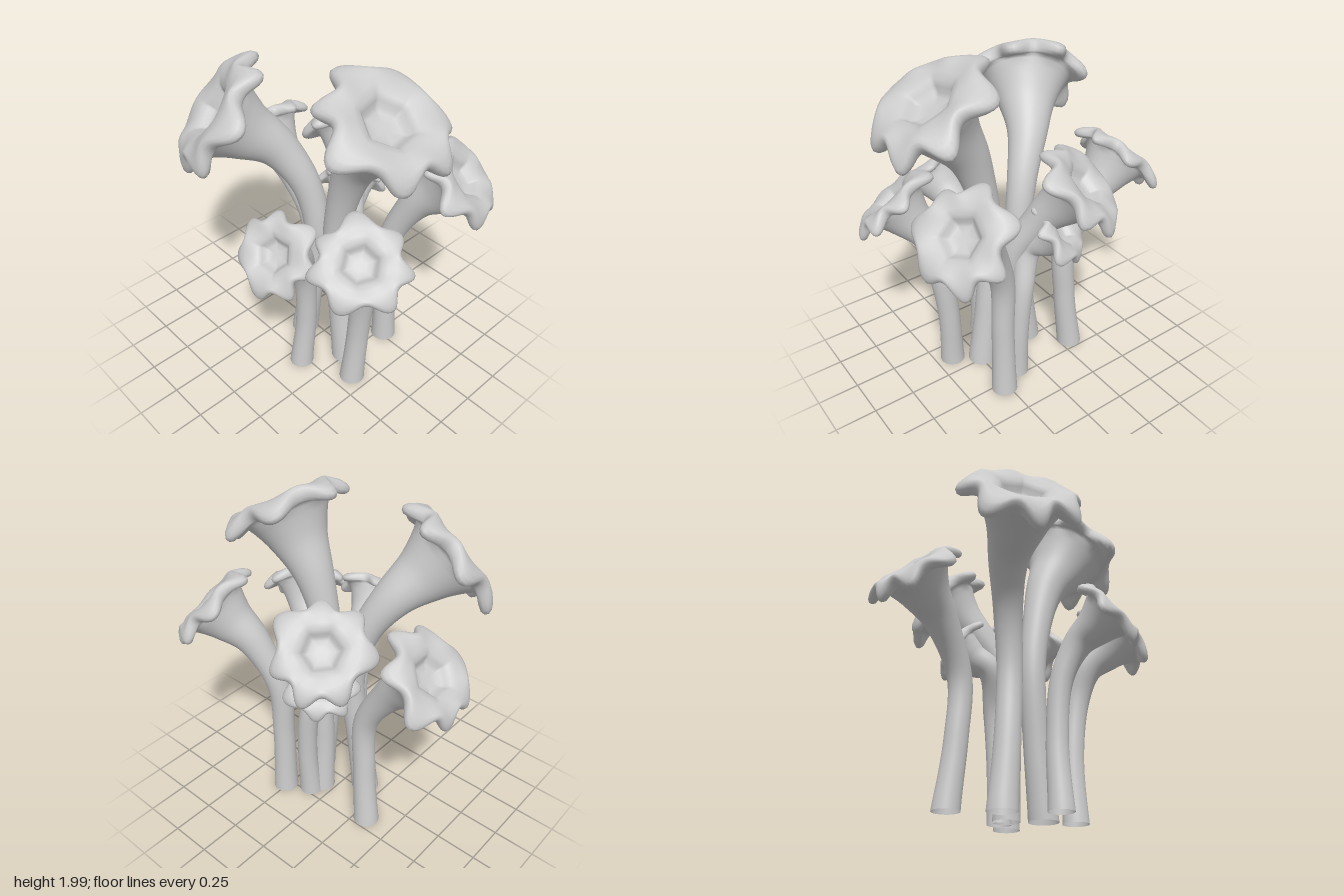
import * as THREE from 'three';

const SIDES = 84, LOBES = 7, STEPS = 44;
const V = (p) => new THREE.Vector3(...p);

// Each polyp: stem points from the ground up, head centre, facing direction, head radius, lobe phase
const POLYPS = [
  { name: 'frontRightTallPolyp', stem: [[-0.13, 0, 0.05], [-0.08, 0.4, 0.04], [-0.04, 0.85, 0.02], [-0.10, 1.18, 0.06]], head: [-0.395, 1.65, 0.43], face: [-0.45, 0.6, 0.66], R: 0.38, phase: 0.9 },
  { name: 'tallestPolyp', stem: [[0.23, 0, 0.03], [0.18, 0.4, 0.03], [0.14, 0.85, 0.04], [0.18, 1.15, 0.04]], head: [0.485, 1.80, 0.045], face: [0.52, 0.85, 0.02], R: 0.385, phase: 1.9 },
  { name: 'rightPolyp', stem: [[-0.32, 0, -0.17], [-0.28, 0.4, -0.15], [-0.28, 0.75, -0.14]], head: [-0.675, 1.25, -0.12], face: [-0.72, 0.69, 0.02], R: 0.295, phase: 3.1 },
  { name: 'frontPolyp', stem: [[0.08, 0, 0.27], [0.10, 0.4, 0.24], [0.12, 0.75, 0.27]], head: [0.22, 1.115, 0.555], face: [0.2, 0.6, 0.75], R: 0.245, phase: 0.9 },
  { name: 'backPolyp', stem: [[0.09, 0, -0.12], [0.09, 0.45, -0.10], [0.09, 0.85, -0.13]], head: [-0.18, 1.32, -0.39], face: [-0.47, 0.71, -0.5], R: 0.30, phase: 2.3 },
  { name: 'backLeftPolyp', stem: [[0.27, 0, -0.28], [0.27, 0.45, -0.27], [0.28, 0.82, -0.28]], head: [0.62, 1.325, -0.44], face: [0.66, 0.67, -0.32], R: 0.295, phase: 4.0 },
  { name: 'leftPolyp', stem: [[0.39, 0, 0.13], [0.41, 0.4, 0.11], [0.45, 0.75, 0.13]], head: [0.61, 1.16, 0.325], face: [0.46, 0.74, 0.46], R: 0.275, phase: 5.2 },
  { name: 'lowBackPolyp', stem: [[0.12, 0, -0.20], [0.12, 0.35, -0.22], [0.09, 0.65, -0.22]], head: [-0.10, 1.03, -0.32], face: [-0.5, 0.6, -0.6], R: 0.22, phase: 0.2 },
];

// Head cross-section in units of R: radius, height, lobe depth, droop, hexagon amount
const HEAD = [
  [0.72, -0.10, 0.04, 0.02, 0], [0.82, -0.11, 0.11, 0.07, 0], [0.91, -0.10, 0.18, 0.11, 0],
  [0.97, -0.06, 0.21, 0.13, 0], [1.00, 0.00, 0.22, 0.14, 0], [0.98, 0.06, 0.21, 0.13, 0],
  [0.91, 0.11, 0.17, 0.10, 0], [0.80, 0.13, 0.10, 0.05, 0], [0.66, 0.13, 0.03, 0.02, 0],
  [0.52, 0.11, 0, 0, 0.4], [0.42, 0.07, 0, 0, 0.8], [0.36, 0.00, 0, 0, 1],
  [0.32, -0.07, 0, 0, 1], [0.25, -0.11, 0, 0, 1], [0.12, -0.12, 0, 0, 1], [0, -0.12, 0, 0, 0],
];

function polypGeometry({ stem, head, face, R, phase }) {
  const n = V(face).normalize(), c = V(head);
  const back = (d) => c.clone().addScaledVector(n, -d * R);
  const curve = new THREE.CatmullRomCurve3([...stem.map(V), back(1.05), back(0.5), back(0.14)]);
  const frames = curve.computeFrenetFrames(STEPS, false);
  const length = curve.getLength();
  const pos = [], index = [];

  const addRing = (centre, i, radius, lift = () => 0) => {
    for (let j = 0; j < SIDES; j++) {
      const a = (j / SIDES) * Math.PI * 2, r = radius(a);
      const p = centre.clone()
        .addScaledVector(frames.normals[i], r * Math.cos(a))
        .addScaledVector(frames.binormals[i], r * Math.sin(a))
        .addScaledVector(frames.tangents[i], lift(a));
      if (i === 0) p.y = 0;
      pos.push(p.x, p.y, p.z);
    }
  };

  // Hollow stem, open at the ground: slight foot, trumpet flare toward the head
  const thin = 0.04 + 0.08 * R;
  for (let i = 0; i <= STEPS; i++) {
    const t = i / STEPS;
    const flare = Math.exp(-((1 - t) * length) / (0.7 * R));
    const r = thin * (1 + 0.22 * Math.exp(-t * 6)) + (0.65 * R - thin) * flare;
    addRing(curve.getPointAt(t), i, () => r);
  }

  // Lobed, drooping rim and hexagonal mouth
  const lobe = (a) => {
    const w = a + 0.10 * Math.sin(2 * a + phase);
    return Math.pow(0.5 + 0.5 * Math.cos(LOBES * w + phase), 1.15);
  };
  const wave = (a) => 0.04 * Math.sin(3 * a + phase * 2);
  const hex = (a) => {
    const s = Math.PI / 3;
    return Math.cos(s / 2) / Math.cos(((a + phase) % s) - s / 2);
  };
  for (const [r, h, depth, droop, six] of HEAD) {
    addRing(c, STEPS,
      (a) => R * (r - depth * (1 - lobe(a))) * (1 + wave(a) * r) * (1 + six * (hex(a) - 1)),
      (a) => R * (h - droop * (lobe(a) * 1.3 - 0.2)));
  }

  const rings = pos.length / 3 / SIDES;
  for (let i = 0; i < rings - 1; i++) {
    for (let j = 0; j < SIDES; j++) {
      const p = i * SIDES + j, q = i * SIDES + (j + 1) % SIDES;
      index.push(p, q, p + SIDES, q, q + SIDES, p + SIDES);
    }
  }
  const g = new THREE.BufferGeometry();
  g.setAttribute('position', new THREE.Float32BufferAttribute(pos, 3));
  g.setIndex(index);
  g.computeVertexNormals();
  return g;
}

export function createModel() {
  const group = new THREE.Group();
  group.name = 'trumpetPolypCluster';
  const material = new THREE.MeshStandardMaterial({ color: 0xcccccc, side: THREE.DoubleSide });
  for (const polyp of POLYPS) {
    const mesh = new THREE.Mesh(polypGeometry(polyp), material);
    mesh.name = polyp.name;
    group.add(mesh);
  }
  return group;
}
